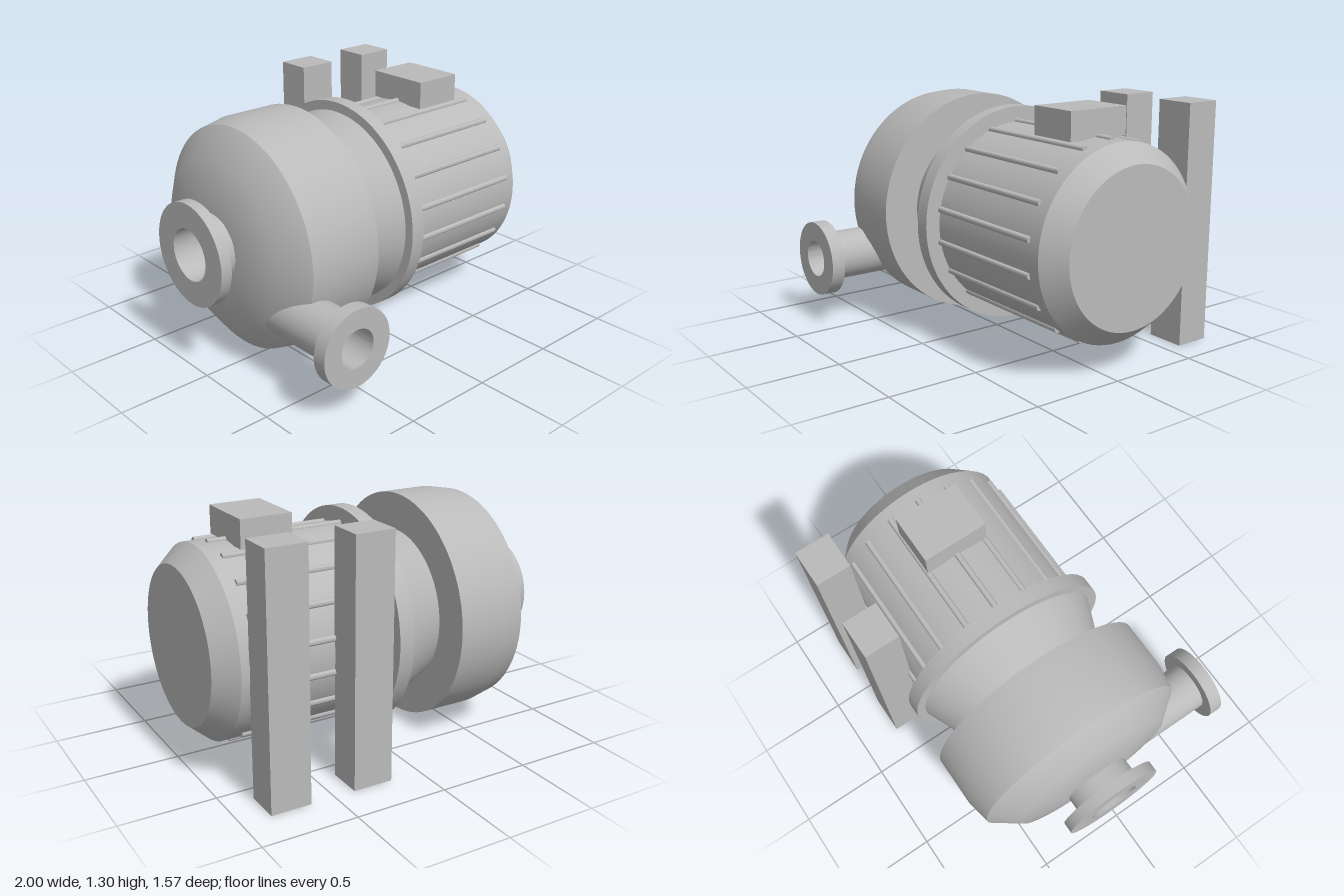
import * as THREE from 'three';
import { toCreasedNormals } from 'three/addons/utils/BufferGeometryUtils.js';

const AXIS_Y = 0.655, AXIS_Z = -0.09;

export function createModel() {
  const model = new THREE.Group();
  model.name = 'motorPump';
  const metal = new THREE.MeshStandardMaterial({ color: 0xbababa });
  metal.name = 'plainGrey';

  const add = (name, geometry, x, y, z, parent = model) => {
    const mesh = new THREE.Mesh(geometry, metal);
    mesh.name = name;
    mesh.position.set(x, y, z);
    parent.add(mesh);
    return mesh;
  };

  // Turned part: [radius, position along axis] pairs, sharp only at strong corners
  const turned = (profile) => toCreasedNormals(
    new THREE.LatheGeometry(profile.map(([r, h]) => new THREE.Vector2(r, h)), 80),
    THREE.MathUtils.degToRad(35));
  const alongX = (name, profile) =>
    add(name, turned(profile).rotateZ(-Math.PI / 2), 0, AXIS_Y, AXIS_Z);

  // Pump casing with the suction bore running into it
  alongX('pumpCasing', [
    [0, -0.4], [0.14, -0.4], [0.14, -0.85], [0.18, -0.85], [0.455, -0.81],
    [0.6, -0.7], [0.625, -0.57], [0.625, -0.295], [0, -0.295],
  ]);

  // Suction pipe and its flange
  alongX('suctionNozzle', [
    [0.14, -0.84], [0.14, -1], [0.275, -1], [0.275, -0.94], [0.18, -0.94], [0.18, -0.84],
  ].map(([r, h]) => [r, h]));

  // Conical adapter between pump and motor
  alongX('adapterCone', [[0.425, -0.295], [0.54, -0.02]]);
  alongX('motorFlange', [[0, -0.02], [0.592, -0.02], [0.592, 0.063], [0, 0.063]]);

  // Motor housing with a chamfered end cover
  alongX('motorHousing', [[0.51, 0.063], [0.51, 0.89], [0.415, 1], [0, 1]]);

  // Discharge pipe and flange, facing forward from the lower casing
  add('dischargeNozzle', turned([
    [0.137, 0.15], [0.137, 0.71], [0.208, 0.71], [0.208, 0.785], [0.102, 0.785], [0.102, 0.15],
  ]).rotateX(Math.PI / 2), -0.665, 0.37, 0);

  // Cooling ribs: thin rods half sunk into the housing
  const ribs = new THREE.Group();
  ribs.name = 'coolingRibs';
  ribs.position.set(0, AXIS_Y, AXIS_Z);
  model.add(ribs);
  const ribGeometry = toCreasedNormals(
    new THREE.CylinderGeometry(0.017, 0.017, 0.76, 16), 0.7).rotateZ(-Math.PI / 2);
  for (let i = 0; i < 18; i++) {
    const a = (i / 18) * Math.PI * 2;
    add('coolingRib', ribGeometry, 0.44, Math.cos(a) * 0.509, Math.sin(a) * 0.509, ribs);
  }

  // Terminal box on top
  add('terminalBox', new THREE.BoxGeometry(0.28, 0.15, 0.36), 0.58, 1.23, AXIS_Z);

  // Two upright mounting bars behind the motor
  for (const x of [0.28, 0.738]) {
    add('mountingBar', new THREE.BoxGeometry(0.215, 1.305, 0.192), x, 0.6525, -0.689);
  }

  return model;
}
